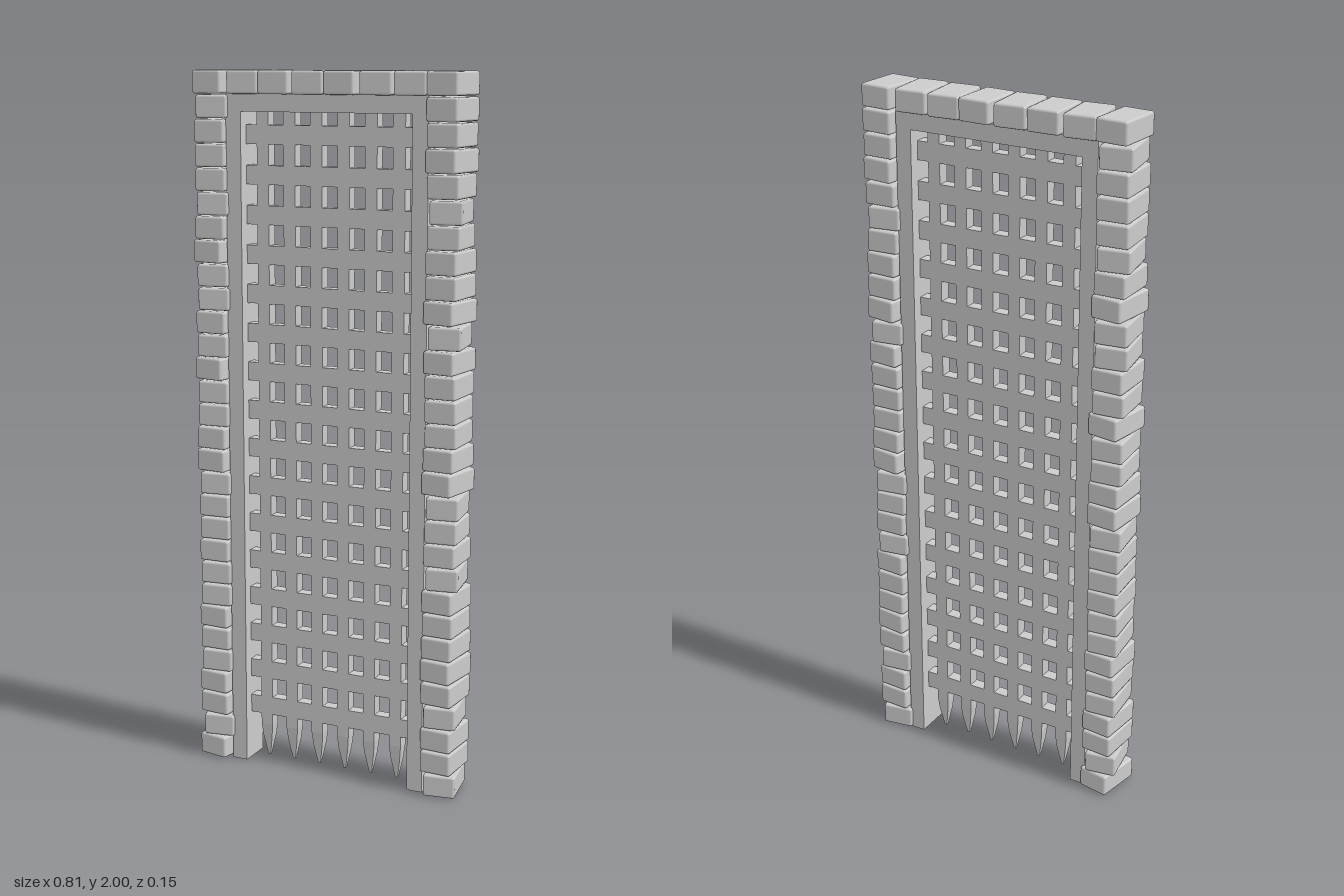
import * as THREE from 'three';
import { RoundedBoxGeometry } from 'three/addons/geometries/RoundedBoxGeometry.js';

export function createModel() {
  const model = new THREE.Group();
  model.name = 'portcullisGate';
  const material = new THREE.MeshStandardMaterial({ color: 0xcccccc });
  const flat = new THREE.MeshStandardMaterial({ color: 0xcccccc, flatShading: true });

  const add = (parent, name, geometry, x, y, z, mat = material) => {
    const mesh = new THREE.Mesh(geometry, mat);
    mesh.name = name;
    mesh.position.set(x, y, z);
    parent.add(mesh);
    return mesh;
  };
  const group = (name) => {
    const g = new THREE.Group();
    g.name = name;
    model.add(g);
    return g;
  };

  let seed = 7;
  const random = () => (seed = (seed * 16807) % 2147483647) / 2147483647;

  // Surround of slightly twisted, bevelled stones
  const rows = 30;
  const pitch = 2 / rows;
  const stone = new RoundedBoxGeometry(0.092, pitch - 0.003, 0.137, 1, 0.007);
  const topTwist = [-4, 5.5, 1, 4, -2, 5, 4, -4.5];

  const lintel = group('lintelStones');
  topTwist.forEach((deg, i) => {
    const s = add(lintel, 'lintelStone', stone, -0.35 + i * 0.1, 2 - pitch / 2, 0);
    s.rotation.y = THREE.MathUtils.degToRad(deg);
  });
  for (const side of [-1, 1]) {
    const column = group(side < 0 ? 'rightStoneColumn' : 'leftStoneColumn');
    for (let i = 0; i < rows - 1; i++) {
      const s = add(column, 'columnStone', stone, side * 0.35, (i + 0.5) * pitch, 0);
      s.rotation.y = THREE.MathUtils.degToRad((random() * 2 - 1) * 10.5);
    }
  }

  // Inner frame: an upside-down U
  const outline = new THREE.Shape([
    [-0.302, 0], [-0.256, 0], [-0.256, 1.887], [0.256, 1.887],
    [0.256, 0], [0.302, 0], [0.302, 1.936], [-0.302, 1.936],
  ].map(([x, y]) => new THREE.Vector2(x, y)));
  const frame = new THREE.ExtrudeGeometry(outline, { depth: 0.1, bevelEnabled: false });
  add(model, 'frame', frame, 0, 0, -0.05);

  // Grille of crossing bars
  const thick = 0.036;
  const grille = group('grille');
  const crossBar = new THREE.BoxGeometry(0.514, 0.053, thick);
  for (let i = 0; i < 16; i++) {
    add(grille, 'crossBar', crossBar, 0, 0.167 + i * 0.1105, 0);
  }

  // Upright bars with tapered spikes at the foot
  const upright = new THREE.BoxGeometry(thick, 1.78, thick);
  const point = (bottom, top, height) =>
    new THREE.CylinderGeometry(top / Math.SQRT2, bottom / Math.SQRT2, height, 4, 1).rotateY(Math.PI / 4);
  const shoulder = point(0.028, thick, 0.04);
  const tip = point(0.007, 0.028, 0.06);
  for (let i = 0; i < 6; i++) {
    const x = (i - 2.5) * 0.082;
    add(grille, 'uprightBar', upright, x, 1.0, 0);
    add(grille, 'spikeShoulder', shoulder, x, 0.09, 0, flat);
    add(grille, 'spikeTip', tip, x, 0.04, 0, flat);
  }

  return model;
}
